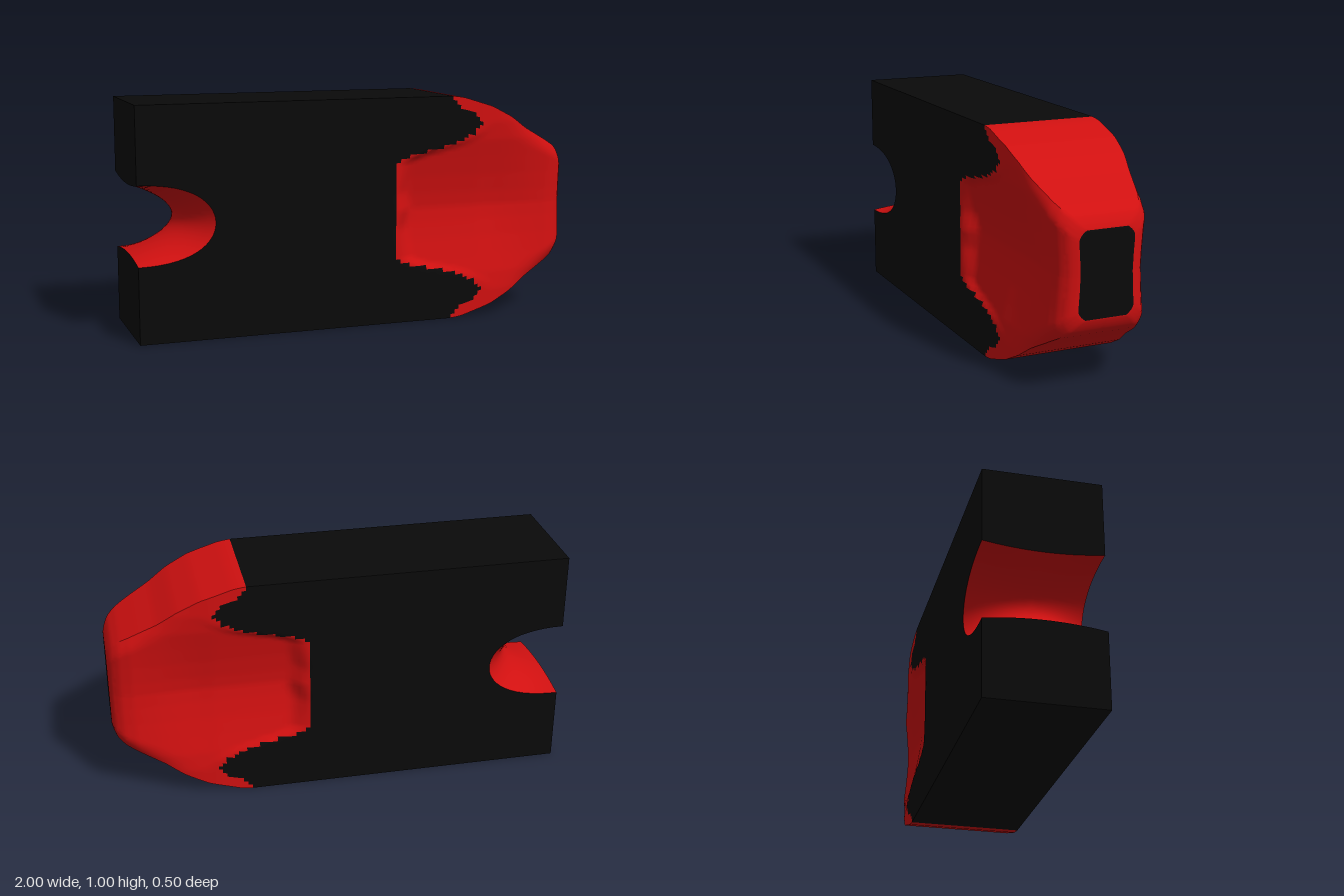
import * as THREE from 'three';
import { toCreasedNormals } from 'three/addons/utils/BufferGeometryUtils.js';

const { lerp, smoothstep, clamp } = THREE.MathUtils;

// Straight-line interpolation through a short list of [x, value] points
function curve(points) {
  return (x) => {
    if (x <= points[0][0]) return points[0][1];
    for (let i = 1; i < points.length; i++) {
      const [x0, v0] = points[i - 1], [x1, v1] = points[i];
      if (x <= x1) return lerp(v0, v1, (x - x0) / (x1 - x0));
    }
    return points[points.length - 1][1];
  };
}

// Half height and half depth of the beam along x; t is the height above the mid-plane
const halfHeight = curve([[0.41, 0.5], [0.46, 0.493], [0.6, 0.45], [0.7, 0.4], [0.78, 0.345],
  [0.87, 0.297], [0.94, 0.258], [0.975, 0.23], [0.992, 0.2], [1, 0.18]]);
const halfDepth = curve([[0.55, 0.25], [0.7, 0.241], [0.8, 0.233], [0.9, 0.222], [0.95, 0.207],
  [0.98, 0.185], [0.993, 0.165], [1, 0.14]]);
const carveStart = curve([[0, 0.15], [0.08, 0.13], [0.22, 0.15], [0.25, 0.24], [0.29, 0.42],
  [0.33, 0.51], [0.38, 0.56], [0.42, 0.51], [0.46, 0.43], [0.5, 0.41]]);
const carveDepth = curve([[0, 0.064], [0.06, 0.058], [0.14, 0.045], [0.22, 0.028], [0.3, 0.01], [0.38, 0]]);

// Half depth of the carved side face at a point
function sideZ(x, t) {
  const carve = smoothstep(x, carveStart(t), carveStart(t) + 0.09);
  const fade = lerp(1, 0.4, smoothstep(x, 0.6, 1));
  const edge = clamp((t / halfHeight(x) - 0.75) / 0.25, 0, 1);
  return halfDepth(x) - carve * fade * carveDepth(t) - 0.035 * smoothstep(x, 0.6, 1) * edge * edge;
}

// Notch outline: v runs from the tip (0) to the mouth (1), s from mid depth (0) to the side face (1)
const TIP = -0.67;
function notch(v, s) {
  const k = s * s;
  const tip = lerp(-0.8, TIP, k);
  const t = lerp(0.15, 0.17, k) * lerp(v, Math.sin(v * Math.PI / 2), k);
  return [tip - (tip + 1) * v * v, t];
}

export function createModel() {
  const positions = [];
  const carved = []; // one flag per triangle

  // Grid of points, mirrored to all four quarters of the beam
  function patch(nu, nv, point, isCarved) {
    const grid = [];
    for (let i = 0; i <= nu; i++) {
      grid.push([]);
      for (let j = 0; j <= nv; j++) grid[i].push(point(i / nu, j / nv));
    }
    for (const sy of [1, -1]) for (const sz of [1, -1]) {
      const add = (a, b, c, flag) => {
        for (const p of sy * sz > 0 ? [a, b, c] : [a, c, b]) {
          positions.push(p[0], 0.5 + sy * p[1], sz * p[2]);
        }
        carved.push(flag);
      };
      for (let i = 0; i < nu; i++) for (let j = 0; j < nv; j++) {
        const a = grid[i][j], b = grid[i + 1][j], c = grid[i + 1][j + 1], d = grid[i][j + 1];
        const flag = isCarved((a[0] + c[0]) / 2, (a[1] + c[1]) / 2);
        add(a, b, c, flag);
        add(a, c, d, flag);
      }
    }
  }

  const NV = 28, NZ = 10, NX = 90, NN = 14;
  const beamX = (u) => lerp(TIP, 1, 1 - Math.pow(1 - u, 1.4));
  const sideRed = (x, t) => x > carveStart(t);
  const topRed = (x) => x > 0.41;
  const always = () => true, never = () => false;

  // Side faces: beside the notch, then along the beam
  patch(NN, NV, (u, v) => {
    const [x, t] = notch(1 - u, 1);
    return [x, lerp(t, 0.5, v), 0.25];
  }, never);
  patch(NX, NV, (u, v) => {
    const x = beamX(u), t = v * halfHeight(x);
    return [x, t, sideZ(x, t)];
  }, sideRed);

  // Top and bottom faces
  const topPoint = (x, v) => [x, halfHeight(x), sideZ(x, halfHeight(x)) * (1 - v)];
  patch(NN, NZ, (u, v) => topPoint(notch(1 - u, 1)[0], v), never);
  patch(NX, NZ, (u, v) => topPoint(beamX(u), v), topRed);

  // Blunt load pad at the tapered end
  patch(NV, NZ, (u, v) => {
    const t = u * halfHeight(1);
    return [1, t, v * sideZ(1, t)];
  }, never);

  // Flat fixed end, and the notch wall flaring towards both sides
  patch(NZ, 8, (u, v) => [-1, lerp(notch(1, u)[1], 0.5, v), u * 0.25], never);
  patch(NN, NZ, (u, v) => [...notch(1 - u, v), v * 0.25], always);

  // Shade as one surface, then split by colour
  const whole = new THREE.BufferGeometry();
  whole.setAttribute('position', new THREE.Float32BufferAttribute(positions, 3));
  const shaded = toCreasedNormals(whole, 0.7);
  const group = new THREE.Group();
  group.name = 'carvedBeam';
  for (const [name, color, flag] of [['blockBody', 0x0a0a0a, false], ['carvedSurfaces', 0xd01010, true]]) {
    const geometry = new THREE.BufferGeometry();
    for (const key of ['position', 'normal']) {
      const source = shaded.getAttribute(key).array;
      const part = [];
      carved.forEach((c, i) => {
        if (c === flag) for (let k = 0; k < 9; k++) part.push(source[i * 9 + k]);
      });
      geometry.setAttribute(key, new THREE.Float32BufferAttribute(part, 3));
    }
    const mesh = new THREE.Mesh(geometry, new THREE.MeshStandardMaterial({ color }));
    mesh.name = name;
    group.add(mesh);
  }
  return group;
}
